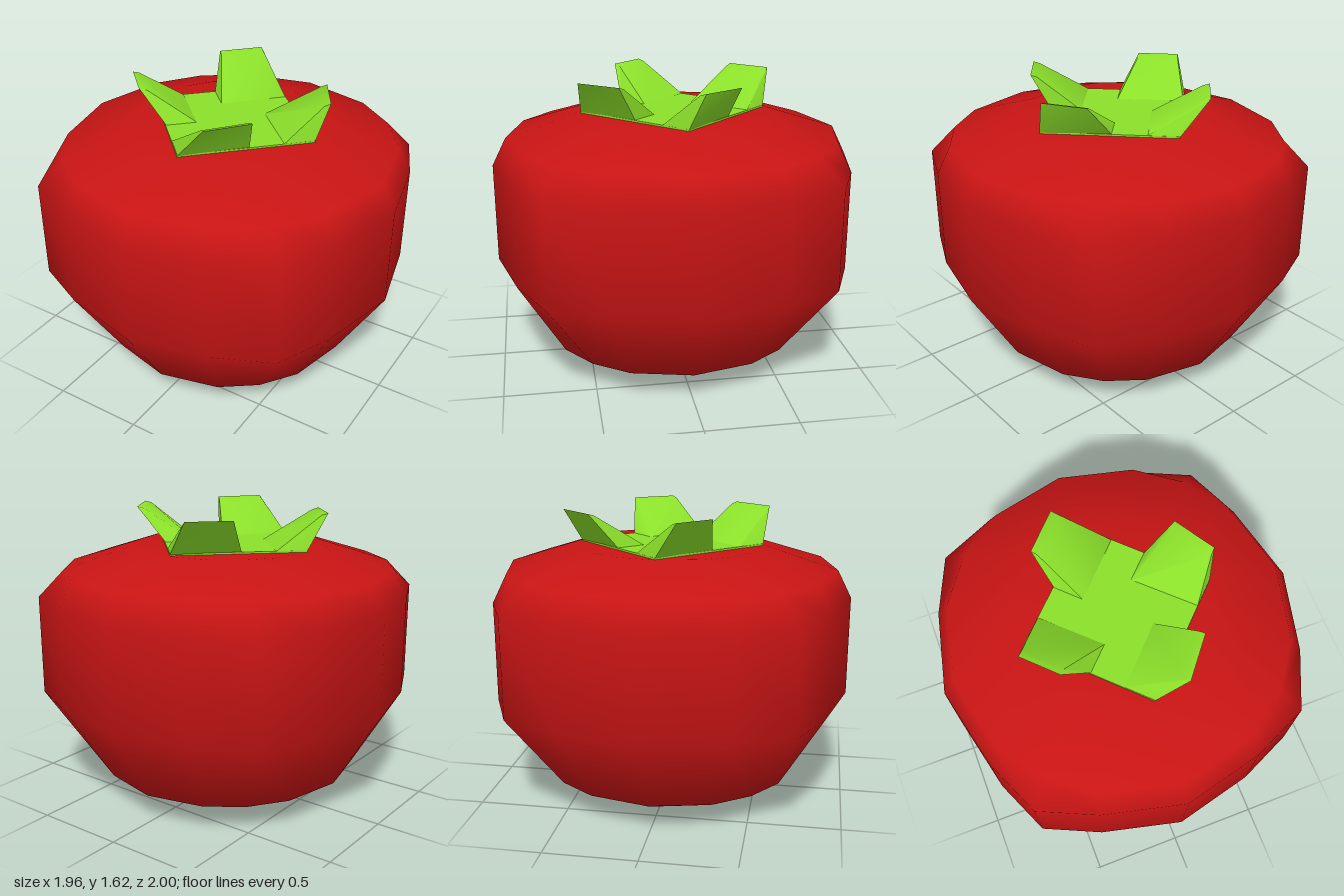
import * as THREE from 'three';
import { mergeVertices, toCreasedNormals } from 'three/addons/utils/BufferGeometryUtils.js';

const TOP = 1.43, TIP = 1.62;

// Low-poly fruit: a 16-sided lathe whose belly is pushed out at the four diagonals
function bodyGeometry() {
  const profile = [[0, 0], [0.39, 0], [0.72, 0.16], [0.985, 0.6], [0.985, 1.15], [0.91, 1.3], [0.52, 1.425], [0, 1.425]];
  const geo = new THREE.LatheGeometry(profile.map(([r, y]) => new THREE.Vector2(r, y)), 16);
  const angles = [0, 26.57, 45, 63.43];
  const p = geo.attributes.position;
  for (let i = 0; i < p.count; i++) {
    const seg = Math.floor(i / profile.length) % 16;
    const [r, y] = profile[i % profile.length];
    const bulge = seg % 4 === 2 && y > 0.5 && y < 1.2 ? 1.07 : 1;
    const a = THREE.MathUtils.degToRad(Math.floor(seg / 4) * 90 + angles[seg % 4]);
    p.setXYZ(i, r * bulge * Math.sin(a) * 0.995, y, r * bulge * Math.cos(a) * 1.015);
  }
  geo.deleteAttribute('uv');
  geo.deleteAttribute('normal');
  const merged = mergeVertices(geo);
  merged.computeVertexNormals();
  return merged;
}

// Wedge-shaped leaf rising from one half of a calyx edge to a thin, outward tip
function leafGeometry([t0x, t0z], [t1x, t1z]) {
  const lip = 0.025;
  const corners = [
    [0, TOP, 0.51], [0.26, TOP, 0.24], [0.14, TOP, 0.12], [-0.12, TOP, 0.39],
    [t0x, TIP, t0z], [t1x, TIP, t1z], [t1x - lip, TIP - 0.01, t1z - lip], [t0x - lip, TIP - 0.01, t0z - lip],
  ];
  const index = [4, 5, 6, 4, 6, 7];
  for (let a = 0; a < 4; a++) {
    const b = (a + 1) % 4;
    index.push(a, b, b + 4, a, b + 4, a + 4);
  }
  const geo = new THREE.BufferGeometry();
  geo.setAttribute('position', new THREE.Float32BufferAttribute(corners.flat(), 3));
  geo.setIndex(index);
  return toCreasedNormals(geo, Math.PI / 3);
}

export function createModel() {
  const group = new THREE.Group();
  const red = new THREE.MeshStandardMaterial({ color: 0xc81414 });
  const green = new THREE.MeshStandardMaterial({ color: 0x8be02a });

  const body = new THREE.Mesh(bodyGeometry(), red);
  body.name = 'fruitBody';
  group.add(body);

  // Calyx: flat diamond with four upturned leaves
  const calyx = new THREE.Group();
  calyx.name = 'calyx';
  const plate = new THREE.Mesh(toCreasedNormals(new THREE.CylinderGeometry(0.51, 0.51, 0.02, 4), 0.5), green);
  plate.name = 'calyxBase';
  plate.position.y = TOP - 0.005;
  calyx.add(plate);

  const tips = [
    [[0.17, 0.53], [0.33, 0.33]],
    [[0.08, 0.55], [0.29, 0.42]],
    [[0.15, 0.57], [0.32, 0.39]],
    [[0.12, 0.56], [0.28, 0.4]],
  ];
  tips.forEach(([a, b], i) => {
    const leaf = new THREE.Mesh(leafGeometry(a, b), green);
    leaf.name = 'leaf' + (i + 1);
    leaf.rotation.y = i * Math.PI / 2;
    calyx.add(leaf);
  });
  group.add(calyx);
  return group;
}
